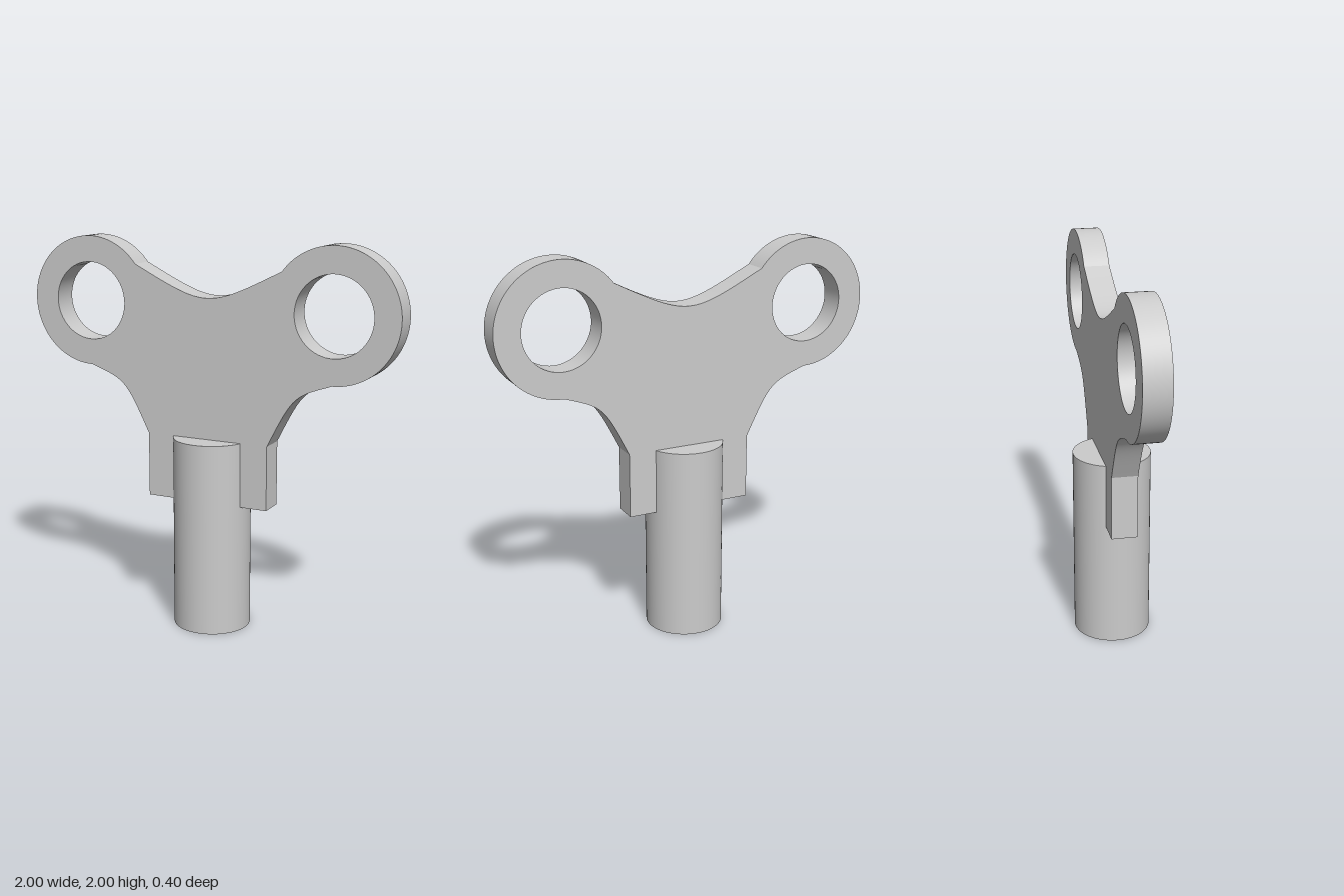
import * as THREE from 'three';
import { toCreasedNormals } from 'three/addons/utils/BufferGeometryUtils.js';

const material = new THREE.MeshStandardMaterial({ color: 0xcccccc });
const THICK = 0.133;        // plate thickness
const EYE = 0.667;          // x offset of each ring centre
const EYE_Y = 1.667;        // height of the ring centres
const RING = 0.333, HOLE = 0.2;

// Winged plate: two rings joined by a web that narrows to the stem
function createHandle() {
  const cut = Math.atan2(0.2, -0.267);   // where the ring meets the top edge
  const s = new THREE.Shape();
  s.moveTo(-0.333, 0.667);
  s.lineTo(0.333, 0.667);
  s.lineTo(0.333, 1);
  s.bezierCurveTo(0.467, 1.267, 0.467, 1.267, EYE, EYE_Y - RING);
  s.absarc(EYE, EYE_Y, RING, -Math.PI / 2, cut, false);
  s.bezierCurveTo(0, 1.667, 0, 1.667, -0.4, 1.867);
  s.absarc(-EYE, EYE_Y, RING, Math.PI - cut, Math.PI * 1.5, false);
  s.bezierCurveTo(-0.467, 1.267, -0.467, 1.267, -0.333, 1);
  s.closePath();

  // Round finger holes
  for (const side of [-1, 1]) {
    const hole = new THREE.Path();
    hole.absarc(side * EYE, EYE_Y, HOLE, 0, Math.PI * 2, true);
    s.holes.push(hole);
  }

  const geo = new THREE.ExtrudeGeometry(s, { depth: THICK, bevelEnabled: false, curveSegments: 32 });
  geo.translate(0, 0, -THICK / 2);
  const mesh = new THREE.Mesh(toCreasedNormals(geo, 0.4), material);
  mesh.name = 'handle';
  return mesh;
}

// Round shaft that grips the lower part of the plate
function createShaft() {
  const mesh = new THREE.Mesh(new THREE.CylinderGeometry(0.2, 0.2, 1, 64), material);
  mesh.position.y = 0.5;
  mesh.name = 'shaft';
  return mesh;
}

export function createModel() {
  const group = new THREE.Group();
  group.name = 'windUpKey';
  group.add(createHandle(), createShaft());
  return group;
}
